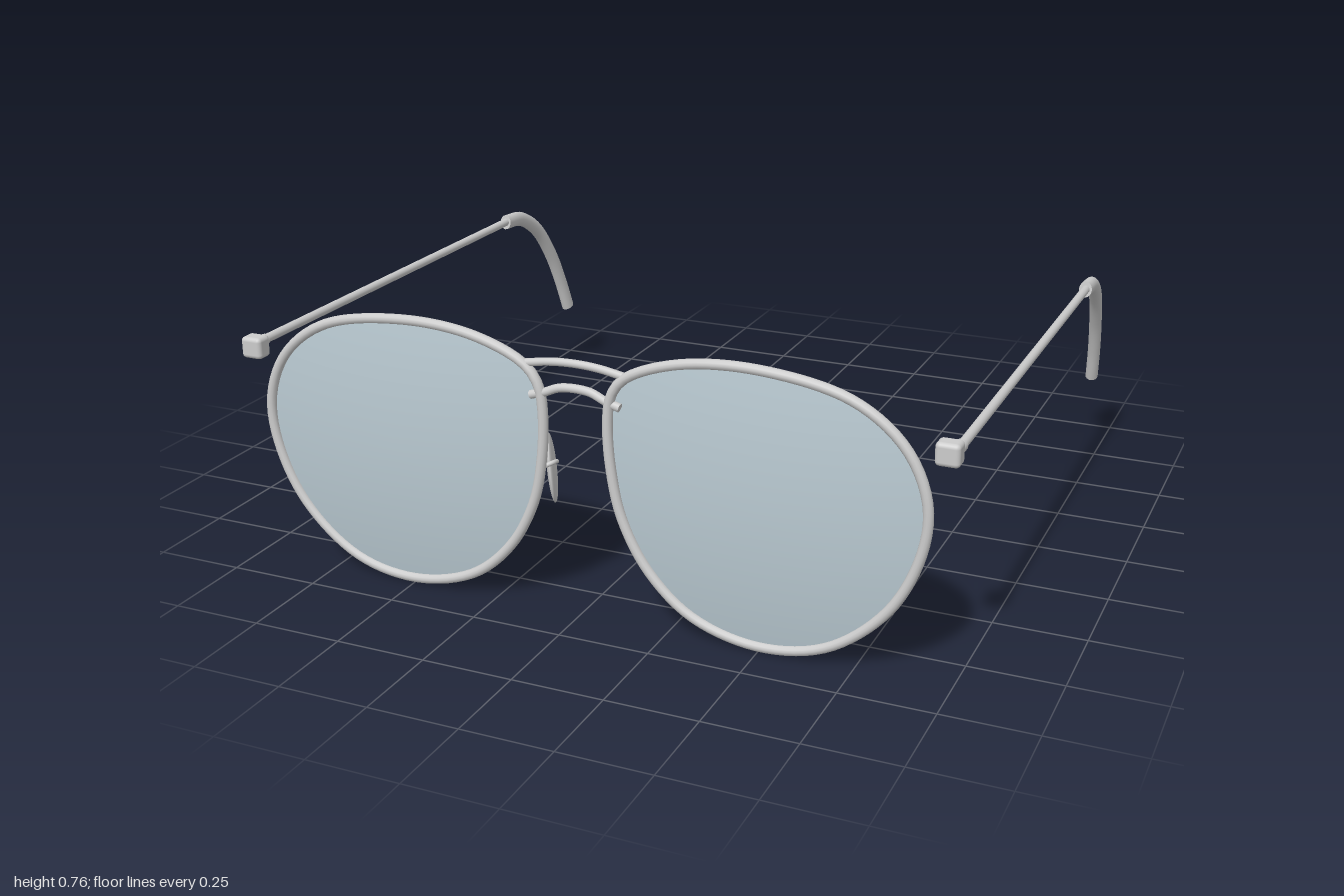
import * as THREE from 'three';
import { mergeGeometries } from 'three/addons/utils/BufferGeometryUtils.js';
import { RoundedBoxGeometry } from 'three/addons/geometries/RoundedBoxGeometry.js';

const RIM_Z = 0.88;
const HINGE_Y = 0.614;

// centre line of the left rim, counter-clockwise seen from the front
const RIM = [
  [0.14, 0.68], [0.102, 0.63], [0.091, 0.56], [0.098, 0.43], [0.127, 0.3], [0.2, 0.167], [0.32, 0.063],
  [0.5, 0.018], [0.68, 0.053], [0.835, 0.183], [0.912, 0.345], [0.922, 0.48],
  [0.865, 0.61], [0.735, 0.708], [0.5, 0.752], [0.285, 0.737],
];

export function createModel() {
  const model = new THREE.Group();
  const metal = new THREE.MeshStandardMaterial({ color: 0xcccccc });
  const glass = new THREE.MeshStandardMaterial({ color: 0xb8c8d0, side: THREE.DoubleSide });

  const add = (name, geometry, material = metal) => {
    const mesh = new THREE.Mesh(geometry, material);
    mesh.name = name;
    model.add(mesh);
    return mesh;
  };

  const curveThrough = (points, closed = false) =>
    new THREE.CatmullRomCurve3(points.map((p) => new THREE.Vector3(...p)), closed);

  // round wire along a path, with flat ends
  const wire = (points, radius, segments = 24) => {
    const curve = curveThrough(points);
    const parts = [new THREE.TubeGeometry(curve, segments, radius, 16)];
    for (const t of [0, 1]) {
      const outward = curve.getTangentAt(t).multiplyScalar(t ? 1 : -1);
      const turn = new THREE.Quaternion().setFromUnitVectors(new THREE.Vector3(0, 0, 1), outward);
      const end = curve.getPointAt(t);
      parts.push(new THREE.CircleGeometry(radius, 16).applyQuaternion(turn).translate(end.x, end.y, end.z));
    }
    return mergeGeometries(parts);
  };

  for (const side of [1, -1]) {
    const label = side > 0 ? 'left' : 'right';
    const mirror = (points) => points.map(([x, y, z]) => [x * side, y, z]);

    // rim and lens
    const outline = mirror(RIM.map(([x, y]) => [x, y, RIM_Z]));
    if (side < 0) outline.reverse();
    const rim = curveThrough(outline, true);
    add(label + 'Rim', new THREE.TubeGeometry(rim, 96, 0.0135, 12, true));
    add(label + 'Lens', lensGeometry(rim, side), glass);

    // nose pad on its bent arm
    add(label + 'PadArm', wire(mirror([
      [0.098, 0.405, 0.875], [0.08, 0.412, 0.855], [0.083, 0.405, 0.828], [0.112, 0.385, 0.8],
    ]), 0.006));
    const pad = add(label + 'NosePad', new THREE.SphereGeometry(1, 28, 20));
    pad.scale.set(0.012, 0.097, 0.054);
    pad.position.set(0.115 * side, 0.37, 0.797);
    pad.rotation.set(0, -0.42 * side, -0.08 * side);

    // hinge block and its collar
    const hinge = add(label + 'Hinge', new RoundedBoxGeometry(0.062, 0.06, 0.05, 3, 0.012));
    hinge.position.set(0.967 * side, HINGE_Y, 0.873);
    const collar = add(label + 'Collar', new THREE.CylinderGeometry(0.016, 0.016, 0.04, 16));
    collar.rotation.x = Math.PI / 2;
    collar.position.set(0.979 * side, HINGE_Y, 0.835);

    // temple rod
    const rod = add(label + 'Temple', new THREE.CylinderGeometry(0.0125, 0.0125, 1.39, 16));
    rod.rotation.x = Math.PI / 2;
    rod.position.set(0.98 * side, HINGE_Y, 0.155);

    // ear tip, an oval sleeve narrower across than it is high
    const squash = 0.8;
    const tip = mirror([
      [0.98, 0.614, -0.522], [0.979, 0.602, -0.62], [0.973, 0.542, -0.72],
      [0.964, 0.43, -0.803], [0.956, 0.315, -0.857], [0.948, 0.216, -0.891],
    ]).map(([x, y, z]) => [x / squash, y, z]);
    add(label + 'EarTip', wire(tip, 0.024, 32).scale(squash, 1, 1));
  }

  // double bridge
  add('upperBridge', wire([
    [-0.14, 0.683, 0.877], [-0.07, 0.695, 0.877], [0, 0.699, 0.877], [0.07, 0.695, 0.877], [0.14, 0.683, 0.877],
  ], 0.0105));
  add('lowerBridge', wire([
    [-0.125, 0.6, 0.878], [-0.085, 0.612, 0.878], [-0.045, 0.628, 0.876], [0, 0.632, 0.875],
    [0.045, 0.628, 0.876], [0.085, 0.612, 0.878], [0.125, 0.6, 0.878],
  ], 0.0115));

  return model;
}

// spherically bulged sheet filling the rim, built as rings around its centre
function lensGeometry(rim, side) {
  const around = 96, rings = 12;
  const cx = 0.52 * side, cy = 0.39;
  const edge = rim.getSpacedPoints(around).slice(0, around);
  const positions = [cx, cy, 0.91];
  const index = [];
  for (let r = 1; r <= rings; r++) {
    edge.forEach((p, i) => {
      const dx = (p.x - cx) * r / rings, dy = (p.y - cy) * r / rings;
      positions.push(cx + dx, cy + dy, 0.91 - 0.22 * (dx * dx + dy * dy));
      const next = (i + 1) % around;
      const a = 1 + (r - 1) * around + i, b = 1 + (r - 1) * around + next;
      if (r === 1) index.push(0, a, b);
      else index.push(a - around, a, b, a - around, b, b - around);
    });
  }
  const geometry = new THREE.BufferGeometry();
  geometry.setAttribute('position', new THREE.Float32BufferAttribute(positions, 3));
  geometry.setIndex(index);
  geometry.computeVertexNormals();
  return geometry;
}
